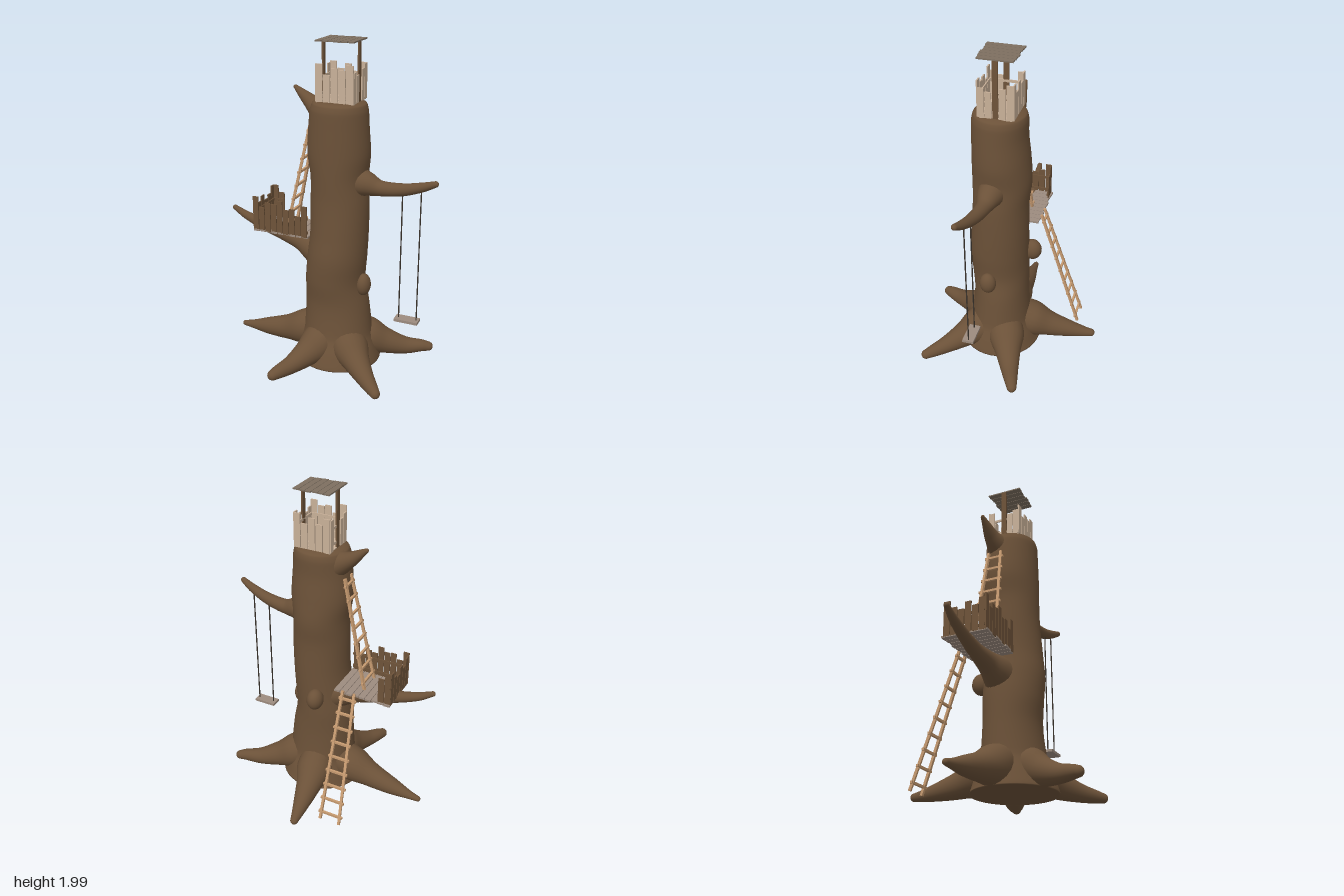
import * as THREE from 'three';

const V = (x, y, z) => new THREE.Vector3(x, y, z);
const mat = (color) => new THREE.MeshStandardMaterial({ color, roughness: 0.9 });
const bark = mat(0x6b5138), ladderWood = mat(0xc69a70), paleWood = mat(0xc9b199);
const darkWood = mat(0x6e5339), greyWood = mat(0x9c8b7e), roofWood = mat(0x7d6f60), rope = mat(0x3a332c);

// Closed skin over rings of equal length
function skin(name, rings) {
  const n = rings[0].length, pos = [], idx = [];
  rings.forEach((ring) => ring.forEach((p) => pos.push(p.x, p.y, p.z)));
  for (let i = 0; i < rings.length - 1; i++) {
    for (let j = 0; j < n; j++) {
      const k = (j + 1) % n, a = i * n + j, b = i * n + k;
      idx.push(a, a + n, b, b, a + n, b + n);
    }
  }
  const geo = new THREE.BufferGeometry();
  geo.setAttribute('position', new THREE.Float32BufferAttribute(pos, 3));
  geo.setIndex(idx);
  geo.computeVertexNormals();
  const mesh = new THREE.Mesh(geo, bark);
  mesh.name = name;
  return mesh;
}

// Tapered limb with a rounded tip; each key is [x, y, z, radius]
function limb(name, keys) {
  const path = new THREE.CatmullRomCurve3(keys.map((k) => V(k[0], k[1], k[2])));
  const size = new THREE.CatmullRomCurve3(keys.map((k) => V(k[3], 0, 0)));
  const rings = [], steps = 28, sides = 20;
  const ring = (c, t, r) => {
    const u = t.clone().cross(V(0, 1, 0)).normalize(), v = u.clone().cross(t);
    rings.push(Array.from({ length: sides }, (_, j) => {
      const a = (j / sides) * Math.PI * 2;
      return c.clone().addScaledVector(u, r * Math.cos(a)).addScaledVector(v, r * Math.sin(a));
    }));
  };
  for (let i = 0; i <= steps; i++) ring(path.getPoint(i / steps), path.getTangent(i / steps), size.getPoint(i / steps).x);
  const end = path.getPoint(1), dir = path.getTangent(1), r = keys.at(-1)[3];
  for (let k = 1; k <= 5; k++) {
    const a = (k / 5) * Math.PI / 2;
    ring(end.clone().addScaledVector(dir, r * Math.sin(a)), dir, r * Math.cos(a));
  }
  return skin(name, rings);
}

// Trunk from elliptical sections: [y, x min, x max, z min, z max]
function trunk() {
  const rows = [
    [0.015, 0.07, 0.08, 0.055, 0.065], [0.015, -0.19, 0.34, -0.19, 0.32], [0.1, -0.17, 0.32, -0.16, 0.295],
    [0.2, -0.145, 0.29, -0.125, 0.255], [0.4, -0.135, 0.265, -0.11, 0.235], [0.55, -0.13, 0.24, -0.11, 0.25],
    [0.7, -0.115, 0.25, -0.11, 0.258], [0.85, -0.1, 0.255, -0.11, 0.245], [1.05, -0.1, 0.255, -0.11, 0.23],
    [1.2, -0.1, 0.245, -0.125, 0.23], [1.35, -0.12, 0.258, -0.115, 0.23], [1.5, -0.11, 0.25, -0.1, 0.228],
    [1.6, -0.1, 0.243, -0.1, 0.226], [1.64, -0.085, 0.23, -0.09, 0.215], [1.655, -0.05, 0.19, -0.05, 0.18],
    [1.655, 0.07, 0.071, 0.06, 0.061],
  ];
  const mid = new THREE.CatmullRomCurve3(rows.map((r) => V((r[1] + r[2]) / 2, r[0], (r[3] + r[4]) / 2)));
  const rad = new THREE.CatmullRomCurve3(rows.map((r) => V((r[2] - r[1]) / 2, 0, (r[4] - r[3]) / 2)));
  const steps = 90, sides = 40, rings = [];
  for (let i = 0; i <= steps; i++) {
    const c = mid.getPoint(i / steps), r = rad.getPoint(i / steps);
    rings.push(Array.from({ length: sides }, (_, j) => {
      const a = (j / sides) * Math.PI * 2;
      return V(c.x + r.x * Math.cos(a), c.y, c.z + r.z * Math.sin(a));
    }));
  }
  return skin('trunk', rings);
}

// Root running from inside the trunk to a tip on the ground
function root(x, z, tipY, tipR) {
  const at = (f, y, r) => [0.07 + (x - 0.07) * f, y, 0.05 + (z - 0.05) * f, r];
  return limb('root', [at(0.08, 0.2, 0.1), at(0.3, 0.135, 0.115), at(0.5, 0.092, 0.082),
    at(0.72, 0.06, 0.055), at(0.9, tipY + 0.005, tipR + 0.008), at(0.97, tipY, tipR)]);
}

function box(name, material, x0, x1, y0, y1, z0, z1) {
  const m = new THREE.Mesh(new THREE.BoxGeometry(x1 - x0, y1 - y0, z1 - z0), material);
  m.position.set((x0 + x1) / 2, (y0 + y1) / 2, (z0 + z1) / 2);
  m.name = name;
  return m;
}

// Square bar between two points
function bar(name, material, a, b, w) {
  const m = new THREE.Mesh(new THREE.BoxGeometry(w, w, a.distanceTo(b)), material);
  m.position.copy(a).lerp(b, 0.5);
  m.lookAt(b);
  m.name = name;
  return m;
}

// Ladder given the feet and heads of its two rails
function ladder(name, a0, a1, b0, b1, count) {
  const g = new THREE.Group();
  g.name = name;
  g.add(bar('ladderRail', ladderWood, a0, a1, 0.016), bar('ladderRail', ladderWood, b0, b1, 0.016));
  for (let i = 0; i < count; i++) {
    const t = (i + 0.5) / count, p = a0.clone().lerp(a1, t), q = b0.clone().lerp(b1, t);
    const over = q.clone().sub(p).setLength(0.018);
    g.add(bar('rung', ladderWood, p.sub(over), q.add(over), 0.014));
  }
  return g;
}

// Row of uneven boards along x or z; a height of 0 leaves a gap
function fence(name, material, axis, from, to, at, y, heights, rails) {
  const g = new THREE.Group(), step = (to - from) / heights.length;
  g.name = name;
  const put = (label, s0, s1, y0, y1, o, t) => g.add(axis === 'x'
    ? box(label, material, s0, s1, y0, y1, at + o - t, at + o + t)
    : box(label, material, at + o - t, at + o + t, y0, y1, s0, s1));
  heights.forEach((h, i) => {
    if (h) put('board', from + step * (i + 0.06), from + step * (i + 0.94), y, y + h, 0, 0.004);
  });
  const inward = at > (axis === 'x' ? 0.05 : rails.centre) ? -0.007 : 0.007;
  rails.y.forEach((h) => put('fenceRail', from, to, y + h - 0.008, y + h + 0.008, inward, 0.003));
  return g;
}

// Planks side by side along x
function planks(name, material, x0, x1, y0, y1, z0, z1, count) {
  const g = new THREE.Group(), step = (x1 - x0) / count;
  g.name = name;
  for (let i = 0; i < count; i++) {
    const j = ((i * 7) % 3) * 0.004;
    g.add(box('plank', material, x0 + step * (i + 0.04), x0 + step * (i + 0.96), y0, y1, z0 + j, z1 - j));
  }
  return g;
}

export function createModel() {
  const model = new THREE.Group();
  model.name = 'treeHouse';

  // Tree: trunk, roots, branches and knots
  model.add(trunk());
  [[-0.66, 0.01, 0.035, 0.018], [-0.17, 0.54, 0.045, 0.033], [0.48, 0.47, 0.04, 0.03],
    [0.62, -0.16, 0.055, 0.03], [-0.03, -0.54, 0.035, 0.025]].forEach((r) => model.add(root(...r)));
  model.add(
    limb('leftLowBranch', [[0.02, 0.66, 0.05, 0.13], [-0.11, 0.705, 0.035, 0.095], [-0.2, 0.728, 0.02, 0.066],
      [-0.33, 0.75, 0.01, 0.046], [-0.47, 0.785, 0.008, 0.036], [-0.6, 0.83, 0.008, 0.026], [-0.68, 0.872, 0.01, 0.016]]),
    limb('rightBranch', [[0.14, 1.19, 0.07, 0.1], [0.25, 1.18, 0.08, 0.075], [0.34, 1.165, 0.085, 0.046],
      [0.48, 1.18, 0.1, 0.037], [0.6, 1.216, 0.118, 0.028], [0.68, 1.25, 0.135, 0.018]]),
    limb('topBranch', [[0.03, 1.53, 0.04, 0.1], [-0.06, 1.575, 0.025, 0.075], [-0.13, 1.615, 0.01, 0.047],
      [-0.19, 1.66, 0.005, 0.028], [-0.235, 1.695, 0, 0.013]]));
  [[0.25, 0.54, 0.1, 0.045, 0.07, 0.052], [0.03, 0.69, -0.125, 0.052, 0.068, 0.06]].forEach(([x, y, z, a, b, c]) => {
    const knot = new THREE.Mesh(new THREE.SphereGeometry(1, 20, 14), bark);
    knot.name = 'knot';
    knot.position.set(x, y, z);
    knot.scale.set(a, b, c);
    model.add(knot);
  });

  // Lower platform with fence
  const low = { y: [0.03, 0.12], centre: -0.28 };
  model.add(
    planks('lowerFloor', greyWood, -0.47, -0.1, 0.795, 0.807, -0.135, 0.148, 9),
    fence('lowerFrontFence', darkWood, 'x', -0.475, -0.105, 0.14, 0.8, [0.22, 0.155, 0.19, 0.185, 0.212, 0.16, 0.17, 0.13, 0.2], low),
    fence('lowerSideFence', darkWood, 'z', -0.125, 0.14, -0.466, 0.8, [0.215, 0.17, 0.15, 0.19, 0.16, 0.2], low),
    fence('lowerBackFence', darkWood, 'x', -0.47, -0.385, -0.12, 0.8, [0.215, 0.17], low));

  // Lookout on top of the trunk
  const top = { y: [0.035, 0.13], centre: 0.08 };
  model.add(
    planks('lookoutFloor', paleWood, -0.035, 0.195, 1.65, 1.66, -0.05, 0.155, 6),
    fence('lookoutFrontFence', paleWood, 'x', -0.037, 0.197, 0.156, 1.655, [0.215, 0.155, 0.195, 0.185, 0.215], top),
    fence('lookoutBackFence', paleWood, 'x', -0.037, 0.197, -0.05, 1.655, [0.2, 0.16, 0.19, 0.15, 0.205], top),
    fence('lookoutLeftFence', paleWood, 'z', -0.05, 0.156, 0.194, 1.655, [0.205, 0.18, 0, 0.155, 0.175], top),
    fence('lookoutRightFence', paleWood, 'z', -0.05, 0.156, -0.034, 1.655, [0.19, 0, 0, 0.16, 0.18], top));
  [-0.029, 0.189].forEach((x) => model.add(box('roofPost', darkWood, x - 0.005, x + 0.005, 1.65, 1.993, 0.038, 0.07)));
  model.add(planks('roof', roofWood, -0.035, 0.197, 1.992, 2, -0.057, 0.165, 6));

  // Ladders
  model.add(
    ladder('lowerLadder', V(-0.277, 0.01, -0.405), V(-0.24, 0.82, -0.135), V(-0.148, 0.01, -0.405), V(-0.165, 0.82, -0.135), 9),
    ladder('upperLadder', V(-0.265, 0.805, -0.045), V(-0.112, 1.5, -0.015), V(-0.265, 0.805, 0.1), V(-0.112, 1.5, 0.065), 8));

  // Swing
  [[0.485, 1.17], [0.595, 1.2]].forEach(([x, y]) => model.add(bar('swingRope', rope, V(x, 0.37, 0.115), V(x, y, 0.115), 0.006)));
  model.add(box('swingSeat', greyWood, 0.465, 0.61, 0.36, 0.376, 0.082, 0.15));
  return model;
}
